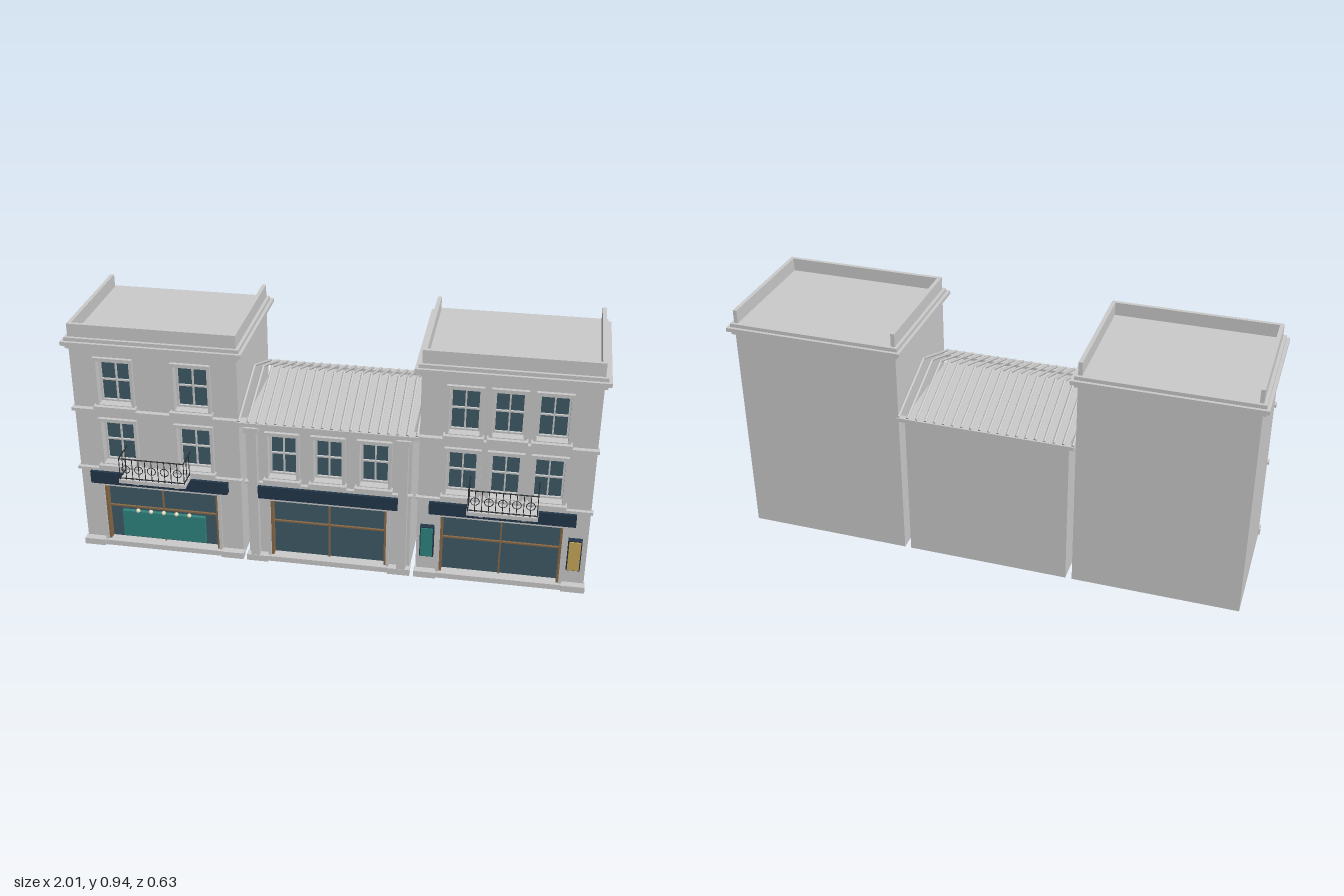
import * as THREE from 'three';

const GREY = 0xcccccc, GLASS = 0x3f5a66, NAVY = 0x24384a, TEAL = 0x2f8580, IRON = 0x2a2d30, WOOD = 0x8a6a48, GOLD = 0xc9a95a, CREAM = 0xe8dcc0;
const FRONT = 0.21, BACK = -0.29, INNER = 0.165;
const mats = {};
const mat = (c) => (mats[c] ??= new THREE.MeshStandardMaterial({ color: c }));

function add(parent, name, geo, color = GREY) {
  const m = new THREE.Mesh(geo, mat(color));
  m.name = name;
  parent.add(m);
  return m;
}

// box given by its limits on each axis
function box(parent, name, x0, x1, y0, y1, z0, z1, color) {
  const m = add(parent, name, new THREE.BoxGeometry(x1 - x0, y1 - y0, z1 - z0), color);
  m.position.set((x0 + x1) / 2, (y0 + y1) / 2, (z0 + z1) / 2);
  return m;
}

// round bar between two points
function bar(parent, name, a, b, r, color, sides = 6) {
  const d = b.clone().sub(a);
  const m = add(parent, name, new THREE.CylinderGeometry(r, r, d.length(), sides), color);
  m.position.copy(a).addScaledVector(d, 0.5);
  m.quaternion.setFromUnitVectors(new THREE.Vector3(0, 1, 0), d.normalize());
  return m;
}

function rectPath(Type, x0, x1, y0, y1) {
  const p = new Type();
  p.moveTo(x0, y0).lineTo(x1, y0).lineTo(x1, y1).lineTo(x0, y1).closePath();
  return p;
}

// flat rectangular panel with rectangular openings [x0, x1, y0, y1]
function pierced(parent, name, outer, holes, z0, z1, color) {
  const s = rectPath(THREE.Shape, ...outer);
  s.holes = holes.map((h) => rectPath(THREE.Path, ...h));
  const m = add(parent, name, new THREE.ExtrudeGeometry(s, { depth: z1 - z0, bevelEnabled: false }), color);
  m.position.z = z0;
  return m;
}

// sash window: glass, glazing bars, surround and sill
function addWindow(parent, [x0, x1, y0, y1]) {
  const g = new THREE.Group();
  g.name = 'window';
  parent.add(g);
  const cx = (x0 + x1) / 2, cy = (y0 + y1) / 2;
  box(g, 'windowGlass', x0, x1, y0, y1, INNER, 0.178, GLASS);
  pierced(g, 'sashFrame', [x0, x1, y0, y1], [[x0 + 0.007, x1 - 0.007, y0 + 0.007, y1 - 0.007]], 0.178, 0.188);
  box(g, 'glazingBar', cx - 0.003, cx + 0.003, y0, y1, 0.178, 0.186);
  box(g, 'glazingBar', x0, x1, cy - 0.003, cy + 0.003, 0.178, 0.186);
  pierced(g, 'windowSurround', [x0 - 0.012, x1 + 0.012, y0 - 0.005, y1 + 0.014], [[x0, x1, y0, y1]], FRONT, 0.224);
  box(g, 'windowSill', x0 - 0.018, x1 + 0.018, y0 - 0.018, y0 - 0.003, FRONT - 0.01, 0.24);
}

// shopfront: glazing with frame, doorstep and blank name board
function addShop(parent, [x0, x1, y0, y1]) {
  const g = new THREE.Group();
  g.name = 'shopfront';
  parent.add(g);
  const cx = (x0 + x1) / 2;
  box(g, 'shopGlass', x0, x1, y0, y1, INNER, 0.188, GLASS);
  pierced(g, 'shopFrame', [x0 - 0.012, x1 + 0.012, y0, y1 + 0.01], [[x0, x1, y0, y1]], FRONT, 0.222);
  for (const [a, b] of [[x0, x0 + 0.009], [x1 - 0.009, x1]]) box(g, 'shopPost', a, b, y0, y1, 0.188, 0.215, WOOD);
  box(g, 'shopMullion', cx - 0.003, cx + 0.003, y0, y1, 0.188, 0.196, WOOD);
  box(g, 'shopTransom', x0, x1, 0.163, 0.169, 0.188, 0.196, WOOD);
  box(g, 'doorstep', x0 - 0.01, x1 + 0.01, 0, y0, INNER, 0.232);
  box(g, 'nameBoard', x0 - 0.045, x1 + 0.045, 0.286, 0.338, FRONT, 0.237, NAVY);
}

// body with a pierced front wall, its openings, plinths and string course
function addHouse(parent, name, x0, x1, top, shop, windows) {
  const g = new THREE.Group();
  g.name = name;
  parent.add(g);
  box(g, 'body', x0, x1, 0, top, BACK, INNER);
  pierced(g, 'frontWall', [x0, x1, 0, top], [shop, ...windows], INNER, FRONT);
  windows.forEach((w) => addWindow(g, w));
  addShop(g, shop);
  box(g, 'plinth', x0 - 0.005, shop[0] - 0.01, 0, 0.026, 0.205, 0.24);
  box(g, 'plinth', shop[1] + 0.01, x1 + 0.005, 0, 0.026, 0.205, 0.24);
  box(g, 'stringCourse', x0 - 0.007, x1 + 0.007, 0.338, 0.349, 0.203, 0.226);
  return g;
}

// tall house trim: stepped cornice and a parapet open at the back
function addTallTrim(g, x0, x1) {
  box(g, 'upperStringCourse', x0 - 0.007, x1 + 0.007, 0.595, 0.607, 0.203, 0.23);
  [[0.85, 0.865, 0.011], [0.865, 0.88, 0.024], [0.88, 0.894, 0.012]].forEach(([a, b, o]) =>
    box(g, 'cornice', x0 - o, x1 + o, a, b, BACK - o, FRONT + o));
  box(g, 'parapetFront', x0, x1, 0.894, 0.945, FRONT - 0.015, FRONT);
  box(g, 'parapetSide', x0, x0 + 0.015, 0.894, 0.945, BACK, FRONT - 0.015);
  box(g, 'parapetSide', x1 - 0.015, x1, 0.894, 0.945, BACK, FRONT - 0.015);
}

// balcony with brackets and iron railing
function addBalcony(parent, cx) {
  const g = new THREE.Group();
  g.name = 'balcony';
  g.position.x = cx;
  parent.add(g);
  const w = 0.13, zf = 0.311, y0 = 0.36, y1 = 0.449, V = (x, y, z) => new THREE.Vector3(x, y, z);
  box(g, 'balconyFloor', -w, w, 0.345, 0.36, FRONT, 0.316);
  for (const s of [-1, 1]) {
    box(g, 'balconyBracket', s * 0.08 - 0.009, s * 0.08 + 0.009, 0.31, 0.345, FRONT, 0.264);
    const x = s * (w - 0.004);
    for (const y of [y0 + 0.006, y1]) bar(g, 'sideRail', V(x, y, FRONT), V(x, y, zf), 0.0022, IRON);
    for (const z of [0.24, 0.275]) bar(g, 'sideBaluster', V(x, y0, z), V(x, y1, z), 0.0015, IRON);
  }
  for (const y of [y0 + 0.006, y1]) bar(g, 'frontRail', V(-w + 0.004, y, zf), V(w - 0.004, y, zf), 0.0022, IRON);
  for (let i = 0; i <= 10; i++) {
    const x = (i / 10 - 0.5) * 2 * (w - 0.004);
    bar(g, 'baluster', V(x, y0, zf), V(x, y1, zf), 0.0016, IRON);
    if (i % 2) {
      const ring = add(g, 'railingRing', new THREE.TorusGeometry(0.016, 0.0015, 5, 16), IRON);
      ring.position.set(x, 0.405, zf);
    }
  }
}

export function createModel() {
  const root = new THREE.Group();
  root.name = 'shopRow';
  const openings = (xs, w, rows) => rows.flatMap(([a, b]) => xs.map((x) => [x - w / 2, x + w / 2, a, b]));
  const low = [0.373, 0.552], high = [0.628, 0.806];

  // left and right tall houses
  const west = addHouse(root, 'westHouse', -0.98, -0.34, 0.89, [-0.89, -0.435, 0.022, 0.27], openings([-0.813, -0.516], 0.128, [low, high]));
  addTallTrim(west, -0.98, -0.34);
  addBalcony(west, -0.66);
  const east = addHouse(root, 'eastHouse', 0.34, 0.98, 0.89, [0.43, 0.885, 0.022, 0.27], openings([0.5, 0.658, 0.816], 0.112, [low, high]));
  addTallTrim(east, 0.34, 0.98);
  addBalcony(east, 0.66);

  // display counter with small lamps
  box(west, 'displayPanel', -0.83, -0.495, 0.035, 0.15, 0.188, 0.205, TEAL);
  for (let i = 0; i < 5; i++) {
    const lamp = add(west, 'displayLamp', new THREE.SphereGeometry(0.009, 12, 8), CREAM);
    lamp.position.set(-0.765 + i * 0.052, 0.156, 0.206);
  }

  // wall display cases
  for (const [x0, x1, c] of [[0.355, 0.408, TEAL], [0.908, 0.96, GOLD]]) {
    box(east, 'displayCase', x0, x1, 0.093, 0.224, FRONT, 0.232, NAVY);
    box(east, 'displayPoster', x0 + 0.004, x1 - 0.004, 0.097, 0.22, 0.232, 0.237, c);
  }

  // low middle house with pilasters and gutters
  const mid = addHouse(root, 'middleHouse', -0.315, 0.315, 0.6, [-0.225, 0.225, 0.022, 0.27], openings([-0.175, 0, 0.175], 0.108, [low]));
  for (const s of [-1, 1]) {
    const x = s * 0.286;
    box(mid, 'pilaster', x - 0.017, x + 0.017, 0.02, 0.574, FRONT, 0.238);
    box(mid, 'pilasterCapital', x - 0.026, x + 0.026, 0.574, 0.595, FRONT, 0.254);
  }
  box(mid, 'frontEaves', -0.338, 0.338, 0.595, 0.61, 0.2, 0.244);
  box(mid, 'backEaves', -0.338, 0.338, 0.595, 0.61, -0.315, BACK);

  // open gable roof of rounded ribs
  for (let i = 0; i < 20; i++) {
    const x = -0.333 + i * 0.03505;
    const ridge = new THREE.Vector3(x, 0.715, -0.035);
    for (const z of [0.238, -0.308]) bar(mid, 'roofRib', new THREE.Vector3(x, 0.611, z), ridge, 0.0052, GREY, 8);
  }
  return root;
}
